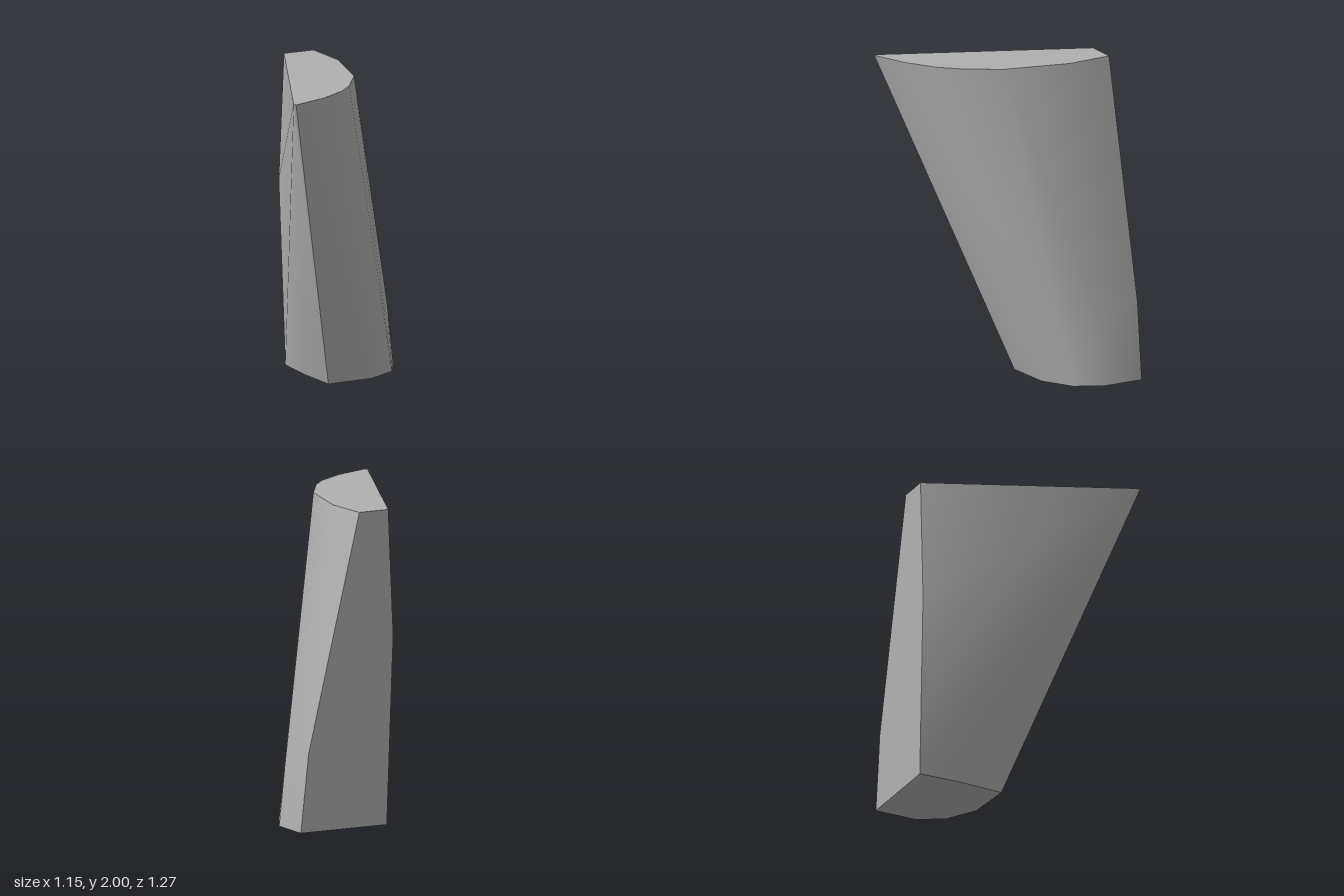
import * as THREE from 'three';
import { ConvexGeometry } from 'three/addons/geometries/ConvexGeometry.js';
import { toCreasedNormals } from 'three/addons/utils/BufferGeometryUtils.js';

export function createModel() {
  const group = new THREE.Group();
  group.name = 'leaningShard';

  const stone = new THREE.MeshStandardMaterial({ color: 0xb0b0b0 });
  stone.name = 'plain grey';

  // top outline, [x, z]
  const top = [
    [-0.05, -0.635], [0.155, -0.635], [0.18, -0.34], [0.088, 0.09], [-0.05, 0.31],
    [-0.15, 0.42], [-0.34, 0.545], [-0.575, 0.635], [-0.58, 0.61],
  ];
  // foot outline, [x, z]
  const foot = [
    [-0.04, -0.635], [0.57, -0.635], [0.575, -0.36], [0.485, -0.19],
    [0.29, -0.075], [-0.02, -0.055], [-0.045, -0.36],
  ];
  // corners where the upright edges bend, [x, y, z]
  const bends = [[-0.085, 1.2, -0.635], [0.515, 0.5, -0.635], [0.535, 0.4, -0.365]];

  const points = [
    ...top.map(([x, z]) => new THREE.Vector3(x, 2, z)),
    ...foot.map(([x, z]) => new THREE.Vector3(x, 0, z)),
    ...bends.map((p) => new THREE.Vector3(...p)),
  ];

  // convex body: sharp caps and back, softly rounded front
  const shard = new THREE.Mesh(toCreasedNormals(new ConvexGeometry(points), 0.6), stone);
  shard.name = 'shard';
  group.add(shard);
  return group;
}
